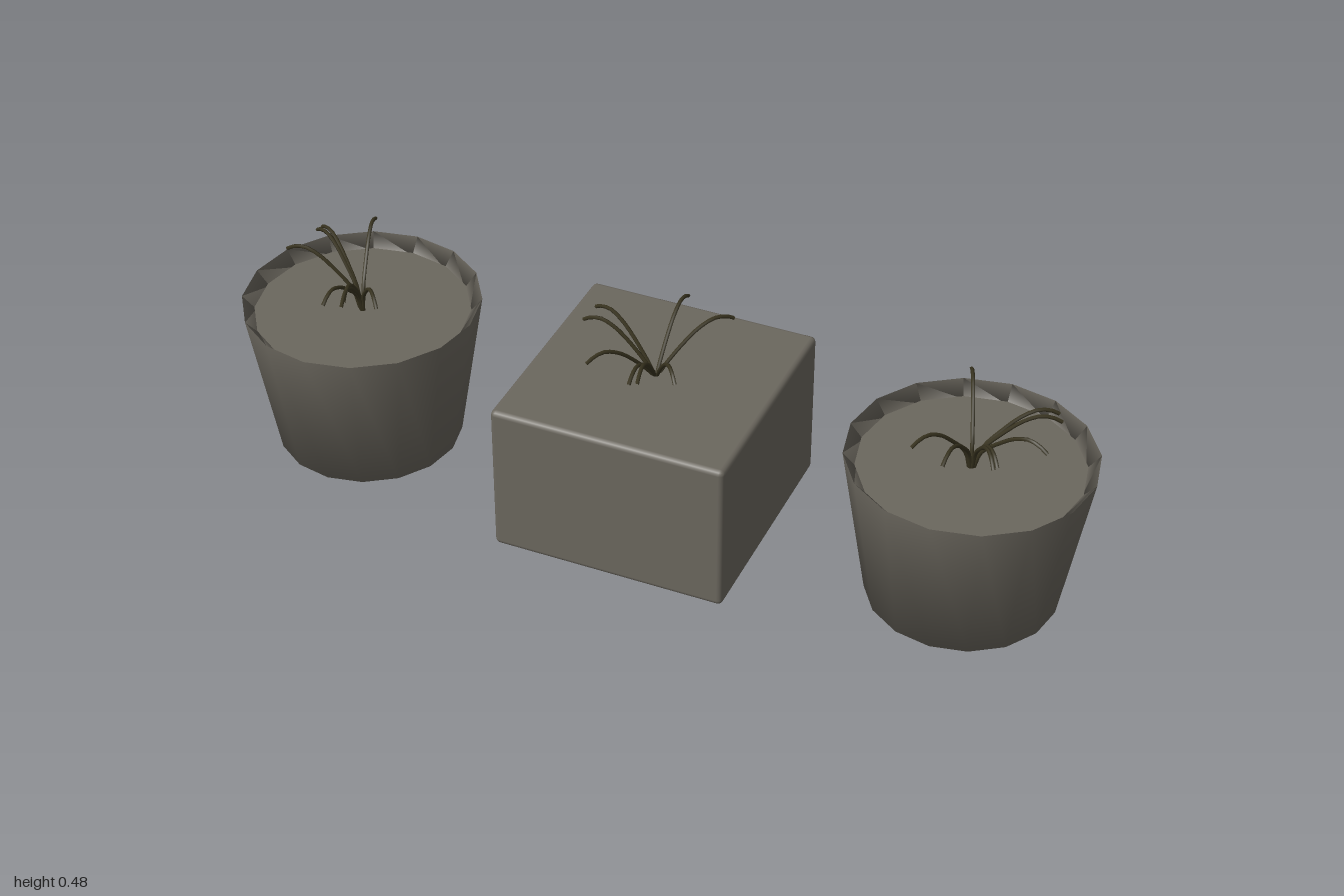
import * as THREE from 'three';
import { RoundedBoxGeometry } from 'three/addons/geometries/RoundedBoxGeometry.js';

const concrete = new THREE.MeshStandardMaterial({ color: 0x6b675e });
concrete.name = 'concrete';
const foliage = new THREE.MeshStandardMaterial({ color: 0x393420 });
foliage.name = 'foliage';

const HEIGHT = 0.365, SOIL = 0.335, SPACING = 0.73;

function add(parent, name, geometry, material) {
  const mesh = new THREE.Mesh(geometry, material);
  mesh.name = name;
  parent.add(mesh);
  return mesh;
}

// Tapered round pot with a sloping inner rim and a sunken soil disc
function roundPot() {
  const pot = new THREE.Group();
  pot.name = 'roundPot';
  const profile = [[0, 0], [0.213, 0], [0.273, HEIGHT], [0.243, SOIL - 0.005]]
    .map(([r, y]) => new THREE.Vector2(r, y));
  add(pot, 'potWall', new THREE.LatheGeometry(profile, 16), concrete);
  const soil = add(pot, 'soil', new THREE.CircleGeometry(0.247, 16), concrete);
  soil.rotation.x = -Math.PI / 2;
  soil.rotation.z = Math.PI / 2;
  soil.position.y = SOIL;
  return pot;
}

// Square planter with softened edges
function squarePlanter() {
  const planter = new THREE.Group();
  planter.name = 'squarePlanter';
  const box = add(planter, 'planterBox', new RoundedBoxGeometry(0.545, HEIGHT, 0.545, 2, 0.012), concrete);
  box.position.y = HEIGHT / 2;
  return planter;
}

// Tuft of arching blades; each tip is an (x, z) offset from the centre
function plant(tips, baseY) {
  const tuft = new THREE.Group();
  tuft.name = 'plant';
  const arch = [[0.03, baseY], [0.12, 0.382], [0.36, 0.428], [0.55, 0.456], [0.75, 0.471], [0.9, 0.467], [1, 0.457]];
  for (const [x, z] of tips) {
    const curve = new THREE.CatmullRomCurve3(arch.map(([t, y]) => new THREE.Vector3(x * t, y, z * t)));
    add(tuft, 'blade', new THREE.TubeGeometry(curve, 14, 0.0045, 5), foliage);
  }
  return tuft;
}

export function createModel() {
  const model = new THREE.Group();
  model.name = 'planters';

  const rightPot = roundPot();
  rightPot.position.x = -SPACING + 0.003;
  rightPot.add(plant([[-0.055, -0.18], [-0.15, -0.1], [-0.155, -0.085], [-0.18, 0.01],
    [0.005, 0.18], [0.04, 0.15], [0.045, 0.17], [0.12, 0.145]], SOIL - 0.005));

  const middle = squarePlanter();
  middle.add(plant([[0, -0.18], [0.125, -0.14], [-0.17, -0.06], [-0.175, -0.005],
    [-0.1, 0.145], [0.015, 0.18], [0.03, 0.17], [0.105, 0.14]], HEIGHT - 0.005));

  const leftPot = roundPot();
  leftPot.position.x = SPACING - 0.003;
  leftPot.add(plant([[-0.065, -0.17], [0.155, -0.09], [0.17, -0.065], [0.175, 0.055],
    [-0.09, 0.145], [-0.01, 0.18], [0.09, 0.15], [0.095, 0.14]], SOIL - 0.005));

  model.add(rightPot, middle, leftPot);
  return model;
}
